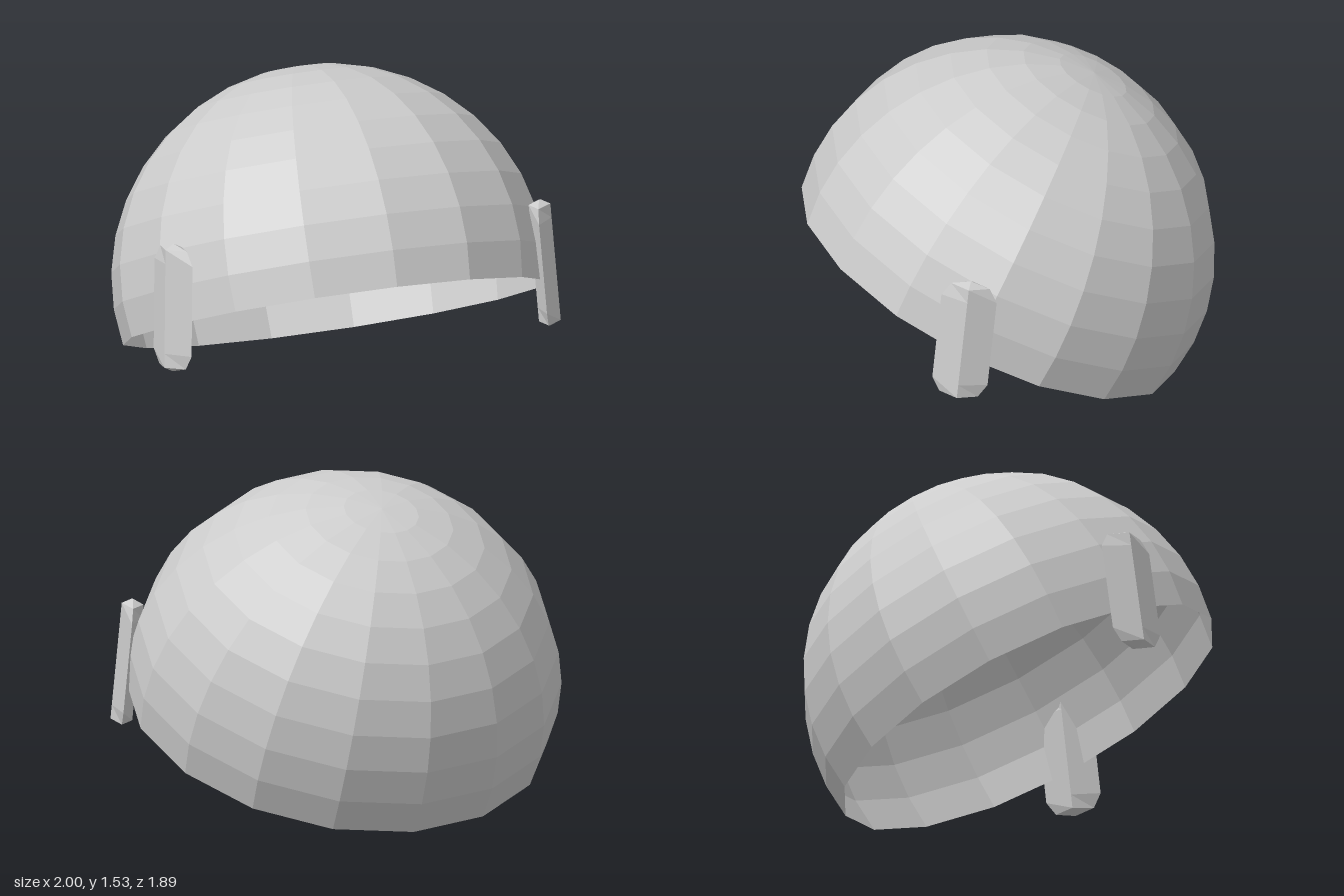
import * as THREE from 'three';

const grey = new THREE.MeshStandardMaterial({ color: 0xcccccc, flatShading: true, side: THREE.DoubleSide });
grey.name = 'light grey';

function addMesh(group, geometry, name) {
  const flat = geometry.toNonIndexed();
  flat.computeVertexNormals();
  const mesh = new THREE.Mesh(flat, grey);
  mesh.name = name;
  group.add(mesh);
  return mesh;
}

// Long plate with a diamond cross-section and narrowed, slightly pointed ends
function tabGeometry() {
  const profile = [[0, -0.298], [0.7, -0.275], [1, -0.21], [1, 0.21], [0.7, 0.275], [0, 0.298]]
    .map(([r, y]) => new THREE.Vector2(r, y));
  const geometry = new THREE.LatheGeometry(profile, 4);
  const p = geometry.attributes.position;
  for (let i = 0; i < p.count; i++) {
    const x = p.getX(i), z = p.getZ(i);
    const r = Math.abs(x) + Math.abs(z);
    // the ridges keep full thickness while the width narrows at the ends
    p.setX(i, 0.128 * x);
    p.setZ(i, r > 0.1 ? 0.05 * z / r : 0);
  }
  return geometry;
}

export function createModel() {
  const model = new THREE.Group();
  model.name = 'domeCap';

  // Open dome, tipped back so that the front rim is raised
  const dome = new THREE.SphereGeometry(0.961, 16, 10, 0, Math.PI * 2, 0, THREE.MathUtils.degToRad(100.8));
  dome.scale(1 / 0.961, 1, 1);
  dome.rotateX(THREE.MathUtils.degToRad(-25.9));
  dome.translate(0, 0.576, 0.0115);
  addMesh(model, dome, 'dome');

  // Side tabs lying against the dome
  for (const side of [1, -1]) {
    const up = new THREE.Vector3(-0.03 * side, 0.59, -0.068).normalize();
    const out = new THREE.Vector3(0.92 * side, 0, 0.39);
    const across = new THREE.Vector3().crossVectors(up, out).normalize();
    out.crossVectors(across, up);
    const geometry = tabGeometry();
    geometry.applyMatrix4(new THREE.Matrix4().makeBasis(across, up, out));
    geometry.translate(0.9 * side, 0.66, 0.42);
    addMesh(model, geometry, side > 0 ? 'leftSideTab' : 'rightSideTab');
  }
  return model;
}
